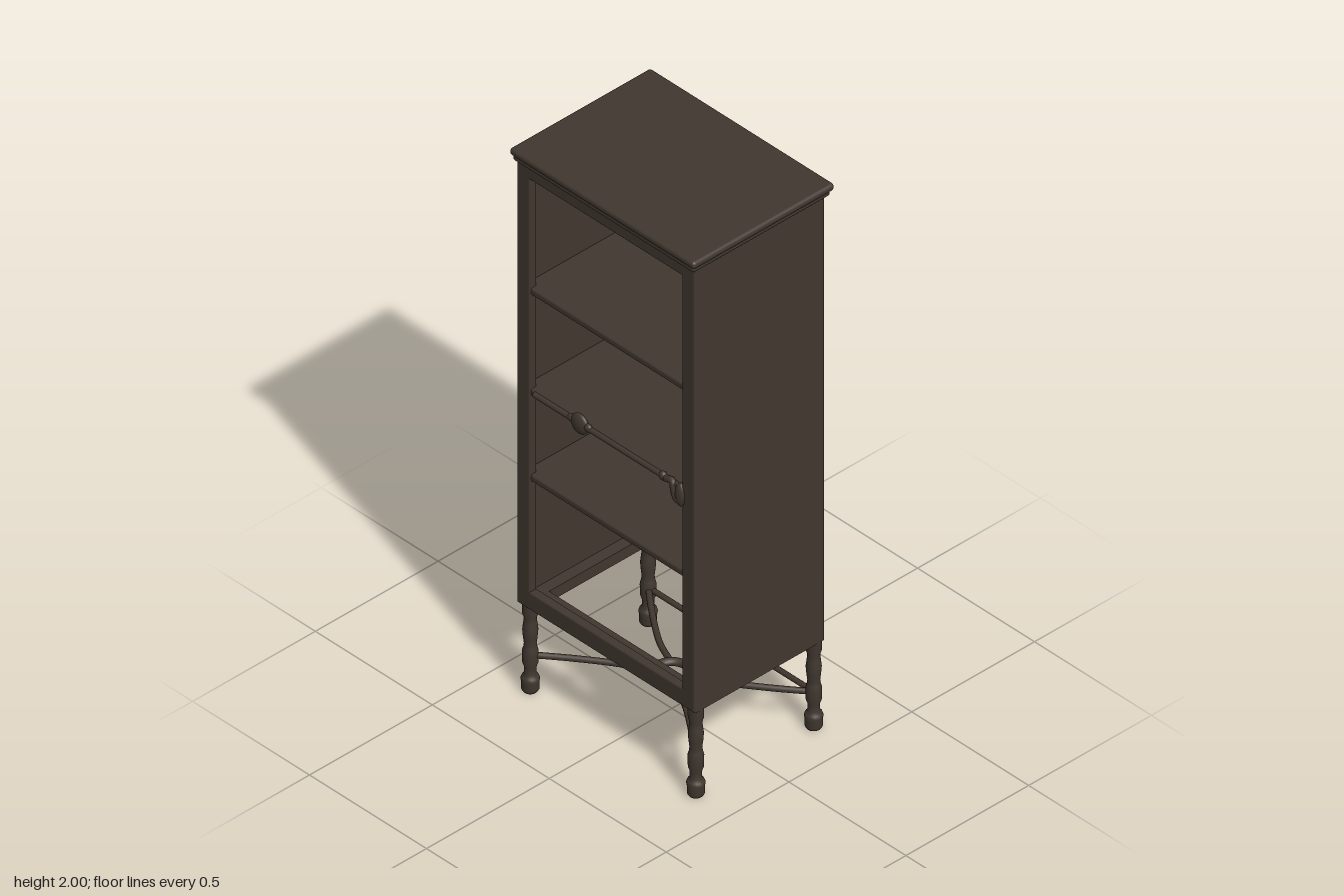
import * as THREE from 'three';
import { RoundedBoxGeometry } from 'three/addons/geometries/RoundedBoxGeometry.js';

const wood = new THREE.MeshStandardMaterial({ color: 0x40372f });
wood.name = 'darkWood';

const V = (x, y, z) => new THREE.Vector3(x, y, z);

export function createModel() {
  const model = new THREE.Group();
  const add = (name, geometry, x = 0, y = 0, z = 0, parent = model) => {
    const mesh = new THREE.Mesh(geometry, wood);
    mesh.name = name;
    mesh.position.set(x, y, z);
    parent.add(mesh);
    return mesh;
  };
  const rbox = (w, h, d, r) => new RoundedBoxGeometry(w, h, d, 3, r);
  const rectHole = (x0, y0, x1, y1) => new THREE.Path([
    new THREE.Vector2(x0, y0), new THREE.Vector2(x0, y1),
    new THREE.Vector2(x1, y1), new THREE.Vector2(x1, y0)]);
  const rectShape = (x0, y0, x1, y1) => new THREE.Shape([
    new THREE.Vector2(x0, y0), new THREE.Vector2(x1, y0),
    new THREE.Vector2(x1, y1), new THREE.Vector2(x0, y1)]);

  // Sides and back in one U-shaped plan with rounded back corners
  const W = 0.38, B = 0.265, F = 0.245, T = 0.025, R = 0.015;
  const plan = new THREE.Shape();
  plan.moveTo(-W, -F);
  plan.lineTo(-W + T, -F);
  plan.lineTo(-W + T, B - T);
  plan.lineTo(W - T, B - T);
  plan.lineTo(W - T, -F);
  plan.lineTo(W, -F);
  plan.lineTo(W, B - R);
  plan.quadraticCurveTo(W, B, W - R, B);
  plan.lineTo(-W + R, B);
  plan.quadraticCurveTo(-W, B, -W, B - R);
  const walls = new THREE.ExtrudeGeometry(plan, { depth: 1.64, bevelEnabled: false, curveSegments: 4 });
  walls.rotateX(-Math.PI / 2);
  add('sidesAndBack', walls, 0, 0.325, 0);

  // Front frame around the open compartments
  const face = rectShape(-W + 0.006, 0.331, W - 0.006, 1.96);
  face.holes.push(rectHole(-0.331, 0.384, 0.331, 1.916));
  add('frontFrame', new THREE.ExtrudeGeometry(face, {
    depth: 0.018, bevelThickness: 0.006, bevelSize: 0.006, bevelSegments: 3,
  }), 0, 0, 0.246);

  // Open rim under the cabinet
  const rim = rectShape(-W + 0.005, -0.255, W - 0.005, 0.26);
  rim.holes.push(rectHole(-0.315, -0.2, 0.315, 0.2));
  const rimGeo = new THREE.ExtrudeGeometry(rim, { depth: 0.04, bevelEnabled: false });
  rimGeo.rotateX(-Math.PI / 2);
  add('bottomRim', rimGeo, 0, 0.324, 0);

  // Top slab with stepped moulding beneath
  add('topSlab', rbox(0.79, 0.026, 0.576, 0.011), 0, 1.987, 0);
  add('topMoulding', rbox(0.775, 0.022, 0.56, 0.009), 0, 1.967, 0.002);

  // Shelves
  for (const y of [0.808, 1.123, 1.495]) {
    add('shelf', rbox(0.715, 0.026, 0.505, 0.008), 0, y, 0.012);
  }

  // Door bar hardware: rod, boss and latch
  const latch = new THREE.Group();
  latch.name = 'latch';
  model.add(latch);
  const rod = new THREE.CylinderGeometry(0.01, 0.01, 0.62, 12);
  rod.rotateZ(Math.PI / 2);
  add('latchRod', rod, 0, 1.125, 0.264, latch);
  const boss = new THREE.SphereGeometry(1, 20, 12);
  add('latchBoss', boss, -0.115, 1.124, 0.265, latch).scale.set(0.036, 0.036, 0.015);
  add('latchBossEar', boss, -0.15, 1.127, 0.265, latch).scale.set(0.016, 0.014, 0.011);
  add('latchBossEar', boss, -0.08, 1.127, 0.265, latch).scale.set(0.016, 0.014, 0.011);
  add('latchCollar', boss, 0.24, 1.125, 0.265, latch).scale.set(0.014, 0.016, 0.012);
  const hook = new THREE.CatmullRomCurve3([
    V(0.255, 1.125, 0.268), V(0.285, 1.132, 0.27), V(0.292, 1.105, 0.271),
    V(0.305, 1.075, 0.27), V(0.325, 1.085, 0.269)]);
  add('latchHook', new THREE.TubeGeometry(hook, 24, 0.011, 10), 0, 0, 0, latch);
  add('latchPlate', boss, 0.317, 1.097, 0.266, latch).scale.set(0.021, 0.042, 0.016);

  // Turned legs
  const profile = [[0, 0], [0.022, 0], [0.027, 0.008], [0.027, 0.035], [0.029, 0.045], [0.026, 0.055],
    [0.018, 0.064], [0.019, 0.09], [0.024, 0.105], [0.025, 0.145], [0.021, 0.16], [0.019, 0.175],
    [0.022, 0.2], [0.024, 0.225], [0.021, 0.25], [0.019, 0.27], [0.024, 0.285], [0.025, 0.33]]
    .map(([r, y]) => new THREE.Vector2(r, y));
  const legGeo = new THREE.LatheGeometry(profile, 20);
  const LX = 0.354, LZ = 0.24, SY = 0.13;

  // Curved stretchers run from each leg to a central ring
  for (const sx of [-1, 1]) for (const sz of [-1, 1]) {
    add('leg', legGeo, sx * LX, 0, sz * LZ);
    const arm = new THREE.CatmullRomCurve3([
      V(sx * LX, SY, sz * LZ), V(sx * 0.25, SY, sz * 0.158),
      V(sx * 0.13, SY, sz * 0.075), V(sx * 0.052, SY, sz * 0.04)]);
    add('stretcher', new THREE.TubeGeometry(arm, 16, 0.01, 10), 0, 0, 0);
  }
  const ring = new THREE.TorusGeometry(0.057, 0.014, 10, 32);
  ring.rotateX(Math.PI / 2);
  add('stretcherRing', ring, 0, SY, 0);

  // Straight stretcher between the back legs
  const backRail = new THREE.CylinderGeometry(0.009, 0.009, LX * 2, 10);
  backRail.rotateZ(Math.PI / 2);
  add('backStretcher', backRail, 0, SY, -LZ);

  return model;
}
